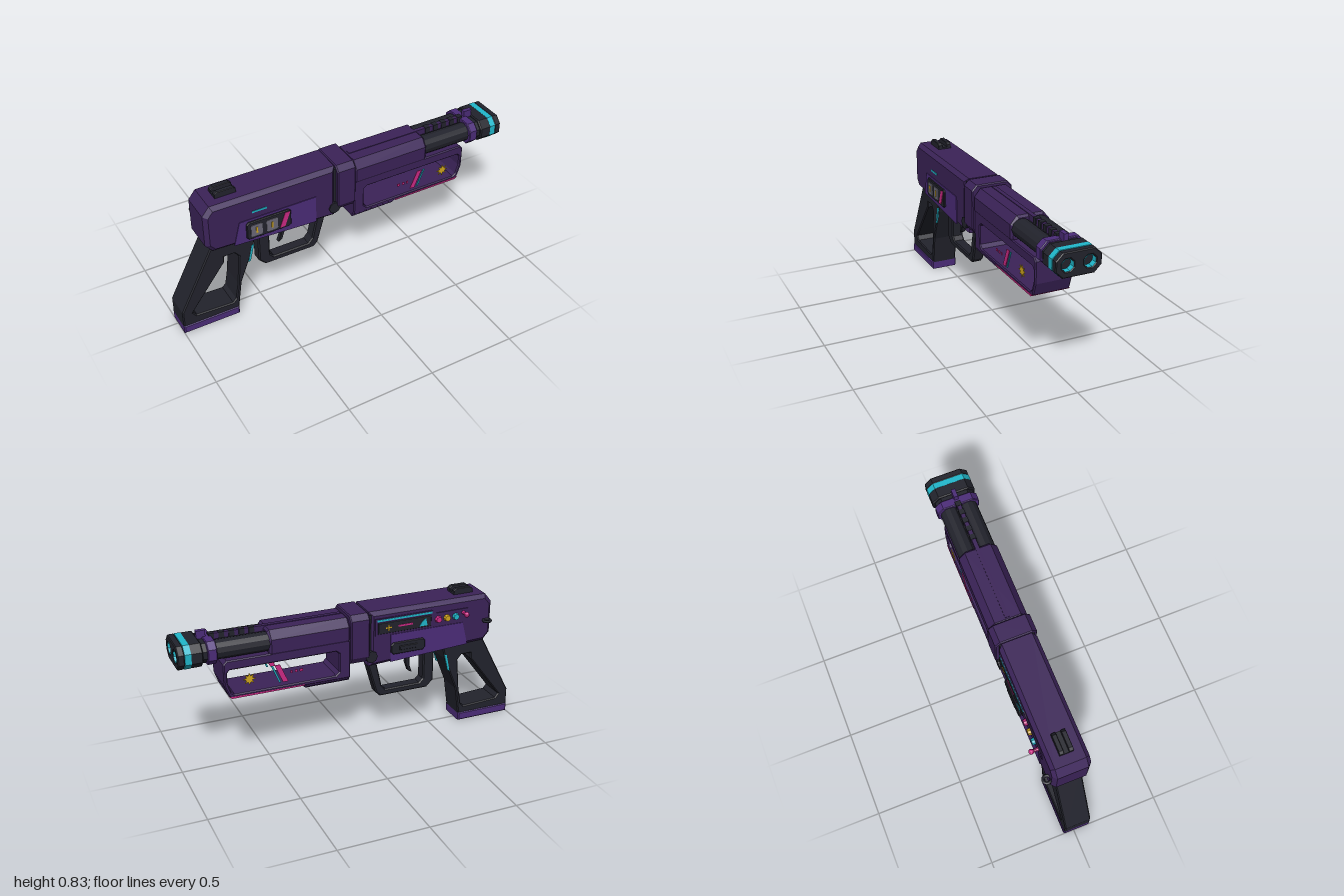
import * as THREE from 'three';

const C = 0.018; // centre plane of the body in z

const paint = (name, color) => {
  const m = new THREE.MeshStandardMaterial({ color });
  m.name = name;
  return m;
};

const poly = (pts, T = THREE.Shape) => new T(pts.map(([x, y]) => new THREE.Vector2(x, y)));
const rect = (x0, x1, y0, y1) => [[x0, y0], [x1, y0], [x1, y1], [x0, y1]];

function flat(geo) {
  const g = geo.index ? geo.toNonIndexed() : geo;
  g.computeVertexNormals();
  return g;
}

function extrude(pts, depth, bevel, holes) {
  const shape = poly(pts);
  for (const h of holes) shape.holes.push(poly(h, THREE.Path));
  const geo = new THREE.ExtrudeGeometry(shape, {
    depth: depth - 2 * bevel, bevelEnabled: bevel > 0, bevelThickness: bevel,
    bevelSize: bevel, bevelOffset: -bevel, bevelSegments: 1, curveSegments: 8,
  });
  return geo.translate(0, 0, bevel - depth / 2);
}

export function createModel() {
  const body = paint('deep purple', 0x3b2358);
  const violet = paint('violet', 0x4c2c79);
  const dark = paint('charcoal', 0x22232c);
  const teal = paint('teal', 0x20b8cc);
  const pink = paint('pink', 0xcf2a86);
  const yellow = paint('yellow', 0xd4a81e);
  const grey = paint('grey', 0x6c6a78);

  const root = new THREE.Group();
  const add = (name, geo, mat, x = 0, y = 0, z = 0) => {
    const m = new THREE.Mesh(geo, mat);
    m.name = name;
    m.position.set(x, y, z);
    root.add(m);
    return m;
  };
  // side profile in x/y, centred at z offset from the body plane
  const slab = (name, pts, mat, half, bevel = 0, holes = [], dz = 0) =>
    add(name, extrude(pts, half * 2, bevel, holes), mat, 0, 0, C + dz);
  // cross-section in z/y, running along x
  const section = (name, pts, mat, x0, x1, bevel = 0, holes = []) =>
    add(name, extrude(pts, x1 - x0, bevel, holes).rotateY(Math.PI / 2), mat, (x0 + x1) / 2, 0, C);
  const box = (name, mat, x0, x1, y0, y1, z0, z1) =>
    add(name, new THREE.BoxGeometry(x1 - x0, y1 - y0, z1 - z0), mat, (x0 + x1) / 2, (y0 + y1) / 2, C + (z0 + z1) / 2);
  const octagon = (w, y0, y1, c) => [[-w + c, y0], [w - c, y0], [w, y0 + c], [w, y1 - c],
    [w - c, y1], [-w + c, y1], [-w, y1 - c], [-w, y0 + c]];
  const ring = (r, cx, cy, n = 8) => Array.from({ length: n }, (_, i) => {
    const a = ((i + 0.5) / n) * Math.PI * 2;
    return [cx + r * Math.cos(a), cy + r * Math.sin(a)];
  });

  // Receiver and collar
  slab('receiver', [[-0.84, 0.555], [-0.80, 0.51], [-0.55, 0.50], [-0.075, 0.47], [-0.075, 0.795],
    [-0.80, 0.795], [-0.84, 0.745]], body, 0.108, 0.022);
  box('collarGap', dark, -0.085, -0.06, 0.53, 0.78, -0.1, 0.1);
  section('collar', [[-0.098, 0.51], [0.098, 0.51], [0.12, 0.545], [0.12, 0.765], [0.092, 0.795],
    [-0.092, 0.795], [-0.12, 0.765], [-0.12, 0.545]], body, -0.07, 0.042, 0.006);
  const pin = flat(new THREE.CylinderGeometry(0.035, 0.035, 0.23, 8).rotateX(Math.PI / 2));
  add('hingePin', pin, dark, -0.085, 0.535, C);

  // Side cheek panels
  for (const s of [1, -1]) {
    slab('cheekPanel', [[-0.685, 0.512], [-0.65, 0.65], [-0.2, 0.65], [-0.2, 0.485]], violet, 0.003, 0, [], s * 0.109);
  }

  // Forend: upper cover, open lower frame and front block
  section('forendCover', [[-0.1, 0.64], [0.1, 0.64], [0.112, 0.66], [0.112, 0.735], [0.075, 0.78],
    [-0.075, 0.78], [-0.112, 0.735], [-0.112, 0.66]], body, 0.04, 0.505, 0.012);
  slab('forendFrame', [[0.04, 0.43], [0.72, 0.435], [0.737, 0.448], [0.76, 0.515], [0.76, 0.635], [0.74, 0.655], [0.04, 0.655]],
    body, 0.105, 0.006, [[[0.105, 0.475], [0.125, 0.456], [0.705, 0.456], [0.722, 0.47], [0.74, 0.525],
      [0.74, 0.585], [0.725, 0.60], [0.125, 0.60], [0.105, 0.585]]]);
  slab('forendFoot', [[0.04, 0.41], [0.30, 0.41], [0.33, 0.436], [0.33, 0.45], [0.04, 0.45]], body, 0.1, 0.014);
  slab('forendUnderStripe', [[0.31, 0.434], [0.72, 0.434], [0.735, 0.445], [0.31, 0.441]], pink, 0.107);
  box('topRail', body, 0.06, 0.80, 0.74, 0.784, -0.012, 0.012).scale.y = 0.98;
  for (let i = 0; i < 5; i++) {
    box('railTooth', dark, 0.555 + i * 0.055, 0.585 + i * 0.055, 0.75, 0.787, -0.016, 0.016).scale.y = 0.98;
  }

  // Emblems floating over the window on both sides
  const star = Array.from({ length: 16 }, (_, i) => {
    const r = i % 2 ? 0.018 : 0.036, a = (i * Math.PI) / 8;
    return [0.622 + r * Math.cos(a), 0.533 + r * Math.sin(a)];
  });
  for (const s of [1, -1]) {
    const dz = s * 0.107;
    slab('windowStar', star, yellow, 0.002, 0, [], dz);
    slab('windowSlash', [[0.405, 0.48], [0.435, 0.48], [0.48, 0.585], [0.45, 0.585]], pink, 0.002, 0, [], dz);
    slab('windowThinSlash', [[0.447, 0.48], [0.457, 0.48], [0.5, 0.585], [0.49, 0.585]], teal, 0.002, 0, [], dz);
    [[0.32, 0.018], [0.352, 0.014], [0.38, 0.01]].forEach(([x, w]) =>
      slab('windowDash', rect(x, x + w, 0.525, 0.54), pink, 0.002, 0, [], dz));
  }

  // Twin barrels and muzzle
  for (const s of [1, -1]) {
    add('barrel', flat(new THREE.CylinderGeometry(0.054, 0.054, 0.42, 12).rotateZ(Math.PI / 2)), dark, 0.66, 0.711, C + s * 0.053);
    add('boreLiner', flat(new THREE.CylinderGeometry(0.034, 0.034, 0.045, 8, 1, true)
      .scale(-1, 1, 1).rotateY(Math.PI / 8).rotateZ(Math.PI / 2)), teal, 0.976, 0.709, C + s * 0.06).material.side = THREE.DoubleSide;
  }
  box('barrelWeb', dark, 0.45, 0.86, 0.67, 0.75, -0.05, 0.05);
  section('frontBand', octagon(0.122, 0.645, 0.775, 0.035), violet, 0.79, 0.84, 0.004);
  box('frontSight', violet, 0.82, 0.87, 0.74, 0.81, -0.012, 0.012);
  section('muzzleNeck', octagon(0.112, 0.655, 0.765, 0.035), dark, 0.835, 0.87);
  section('muzzleRear', octagon(0.125, 0.643, 0.775, 0.038), dark, 0.865, 0.955, 0.006);
  section('muzzleBand', octagon(0.1255, 0.642, 0.776, 0.038), teal, 0.928, 0.962, 0);
  section('muzzleFront', octagon(0.125, 0.643, 0.775, 0.038), dark, 0.962, 1.0, 0.005,
    [ring(0.035, -0.06, 0.709), ring(0.035, 0.06, 0.709)]);
  for (const s of [1, -1]) {
    add('boreEnd', flat(new THREE.CylinderGeometry(0.034, 0.034, 0.004, 8).rotateZ(Math.PI / 2)), dark, 0.9635, 0.709, C + s * 0.06);
  }

  // Rear sight
  slab('rearSightBase', [[-0.745, 0.785], [-0.625, 0.785], [-0.625, 0.805], [-0.745, 0.805]], dark, 0.039);
  for (const s of [1, -1]) {
    slab('rearSightProng', [[-0.745, 0.79], [-0.625, 0.79], [-0.625, 0.818], [-0.64, 0.83], [-0.73, 0.83], [-0.745, 0.818]],
      dark, 0.0125, 0.002, [], s * 0.0265);
  }

  // Skeleton grip with base plate
  slab('grip', [[-0.80, 0.53], [-1.0, 0.145], [-1.0, 0.045], [-0.67, 0.045], [-0.645, 0.215], [-0.565, 0.42], [-0.545, 0.52]],
    dark, 0.076, 0.006, [[[-0.735, 0.43], [-0.675, 0.43], [-0.65, 0.40], [-0.667, 0.21], [-0.685, 0.11],
      [-0.705, 0.09], [-0.92, 0.10], [-0.94, 0.125], [-0.735, 0.395]]]);
  slab('gripBase', rect(-1.0, -0.67, 0.0, 0.052), violet, 0.08, 0.007);
  for (const s of [1, -1]) {
    slab('gripAccent', [[-0.598, 0.34], [-0.585, 0.345], [-0.56, 0.45], [-0.575, 0.445]], teal, 0.003, 0, [], s * 0.075);
  }

  // Trigger and guard
  slab('triggerGuard', [[-0.515, 0.49], [-0.515, 0.28], [-0.475, 0.24], [-0.175, 0.24], [-0.15, 0.265], [-0.085, 0.49]],
    dark, 0.034, 0.007, [[[-0.447, 0.47], [-0.447, 0.30], [-0.425, 0.277], [-0.21, 0.277], [-0.185, 0.305], [-0.147, 0.47]]]);
  slab('trigger', [[-0.385, 0.50], [-0.345, 0.50], [-0.343, 0.41], [-0.36, 0.36], [-0.385, 0.345], [-0.37, 0.39], [-0.367, 0.45]],
    dark, 0.014, 0.003);

  // Front side gauge
  slab('gaugePlate', [[-0.602, 0.527], [-0.367, 0.527], [-0.355, 0.539], [-0.355, 0.625], [-0.367, 0.637],
    [-0.602, 0.637], [-0.615, 0.625], [-0.615, 0.539]], dark, 0.01, 0.004, [], 0.113);
  for (const x of [-0.56, -0.47]) {
    slab('gaugeCell', octagon(0.033, 0.545, 0.617, 0.006).map(([a, b]) => [a + x, b]), grey, 0.005, 0, [], 0.122);
    slab('gaugeNeedle', rect(x - 0.005, x + 0.005, 0.563, 0.6), yellow, 0.002, 0, [], 0.128);
  }
  slab('gaugeSlash', [[-0.425, 0.54], [-0.395, 0.54], [-0.362, 0.627], [-0.392, 0.627]], pink, 0.002, 0, [], 0.124);
  slab('frontAccent', rect(-0.575, -0.49, 0.685, 0.696), teal, 0.002, 0, [], 0.109);

  // Back side control strip, screen and buttons
  slab('controlStrip', [[-0.70, 0.67], [-0.67, 0.655], [-0.105, 0.655], [-0.105, 0.755], [-0.45, 0.755], [-0.48, 0.735], [-0.68, 0.735]],
    body, 0.004, 0, [], -0.109);
  slab('screen', rect(-0.445, -0.12, 0.665, 0.73), dark, 0.005, 0.002, [], -0.114);
  slab('screenTopLine', rect(-0.45, -0.115, 0.738, 0.749), teal, 0.003, 0, [], -0.113);
  slab('screenPlus', rect(-0.20, -0.165, 0.695, 0.702), yellow, 0.002, 0, [], -0.12);
  slab('screenPlus', rect(-0.186, -0.179, 0.681, 0.716), yellow, 0.002, 0, [], -0.12);
  slab('screenDash', rect(-0.33, -0.24, 0.695, 0.705), pink, 0.002, 0, [], -0.12);
  slab('screenMark', [[-0.42, 0.675], [-0.37, 0.675], [-0.385, 0.70], [-0.41, 0.718]], teal, 0.002, 0, [], -0.12);
  [[-0.60, teal], [-0.545, yellow], [-0.49, pink]].forEach(([x, mat]) =>
    add('button', flat(new THREE.CylinderGeometry(0.021, 0.017, 0.02, 8).rotateX(Math.PI / 2)), mat, x, 0.697, C - 0.12));
  add('knobStem', flat(new THREE.CylinderGeometry(0.007, 0.012, 0.04, 8).rotateX(-Math.PI / 2)), pink, -0.65, 0.712, C - 0.13);
  add('knob', flat(new THREE.SphereGeometry(0.016, 8, 6)), pink, -0.65, 0.712, C - 0.152);

  // Ejection port and sling loop
  slab('ejectionPort', octagon(0.105, 0.53, 0.60, 0.014).map(([x, y]) => [x - 0.305, y]), dark, 0.007, 0.004, [], -0.114);
  slab('ejectionLatch', rect(-0.36, -0.25, 0.553, 0.577), dark, 0.006, 0.002, [], -0.12);
  add('slingLoop', new THREE.TorusGeometry(0.021, 0.008, 6, 14).rotateX(Math.PI / 2), dark, -0.80, 0.643, C - 0.125);

  return root;
}
